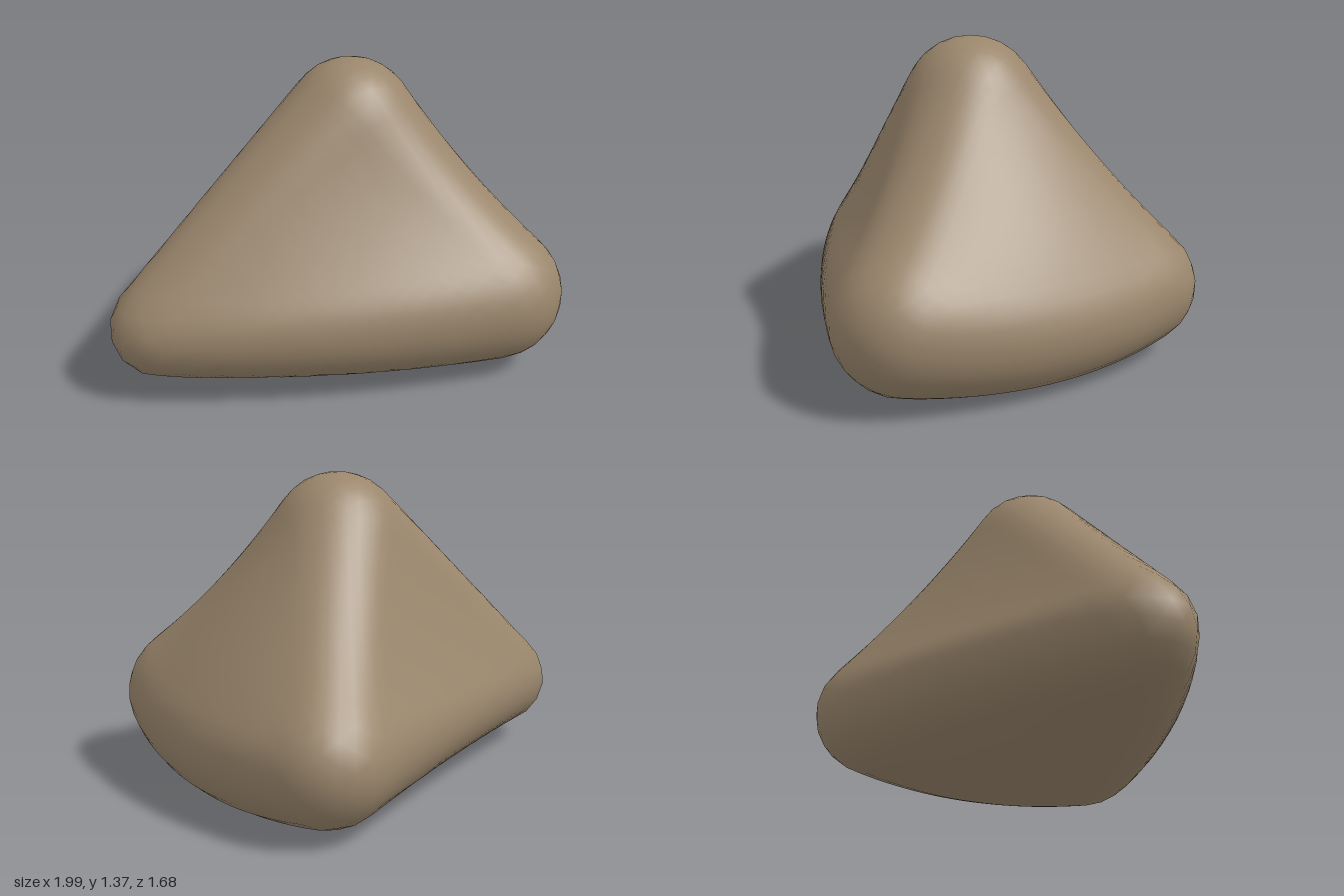
import * as THREE from 'three';
import { mergeVertices } from 'three/addons/utils/BufferGeometryUtils.js';

const vec = (x, y, z) => new THREE.Vector3(x, y, z);

// Four rounded corners: centre and radius
const corners = [
  { c: vec(-0.78, 0.31, 0), r: 0.22 }, // side
  { c: vec(0.62, 0.31, -0.57), r: 0.27 }, // back
  { c: vec(0.63, 0.35, 0.53), r: 0.31 }, // front
  { c: vec(0.18, 1.09, 0.01), r: 0.29 }, // top
];
// How far the middle of each edge bows away from a straight line
const edges = [
  [0, 1, vec(0, 0.02, 0)],
  [0, 2, vec(-0.03, 0, 0.06)],
  [1, 2, vec(0.08, -0.035, 0)],
  [1, 3, vec(0, -0.02, 0.02)],
  [2, 3, vec(0, -0.03, -0.03)],
];
// How far the middle of each face swells
const faces = [
  [0, 1, 2, vec(0, -0.03, 0)],
  [0, 1, 3, vec(0, 0, 0)],
  [0, 2, 3, vec(0, 0, 0)],
  [1, 2, 3, vec(0.02, 0.01, 0)],
];
const core = vec(0.15, 0.5, 0);

// Spheres spread over the four bowed faces
function skinSpheres(steps) {
  const spheres = [];
  for (const [p, q, s, swell] of faces) {
    for (let i = 0; i <= steps; i++) {
      for (let j = 0; j <= steps - i; j++) {
        const w = [0, 0, 0, 0];
        w[p] = i / steps;
        w[q] = j / steps;
        w[s] = (steps - i - j) / steps;
        const c = vec(0, 0, 0);
        let r = 0;
        corners.forEach((k, n) => {
          c.addScaledVector(k.c, w[n]);
          r += k.r * w[n];
        });
        for (const [a, b, bow] of edges) c.addScaledVector(bow, 4 * w[a] * w[b]);
        c.addScaledVector(swell, 27 * w[p] * w[q] * w[s]).sub(core);
        spheres.push({ c, k: r * r - c.lengthSq() });
      }
    }
  }
  return spheres;
}

export function createModel() {
  const group = new THREE.Group();
  group.name = 'rock';
  const stone = new THREE.MeshStandardMaterial({ color: 0x9a866c });
  stone.name = 'brown stone';

  // Push a ball's vertices out to the farthest sphere surface
  let geo = new THREE.IcosahedronGeometry(1, 15);
  geo.deleteAttribute('uv');
  geo.deleteAttribute('normal');
  geo = mergeVertices(geo, 1e-4);
  const spheres = skinSpheres(36);
  const pos = geo.attributes.position;
  const d = vec(0, 0, 0);
  for (let i = 0; i < pos.count; i++) {
    d.fromBufferAttribute(pos, i).normalize();
    let far = 0.1;
    for (const s of spheres) {
      const b = d.dot(s.c);
      const disc = b * b + s.k;
      if (disc >= 0) far = Math.max(far, b + Math.sqrt(disc));
    }
    d.multiplyScalar(far).add(core);
    pos.setXYZ(i, d.x, d.y, d.z);
  }
  geo.computeVertexNormals();

  const rock = new THREE.Mesh(geo, stone);
  rock.name = 'boulder';
  group.add(rock);
  return group;
}
